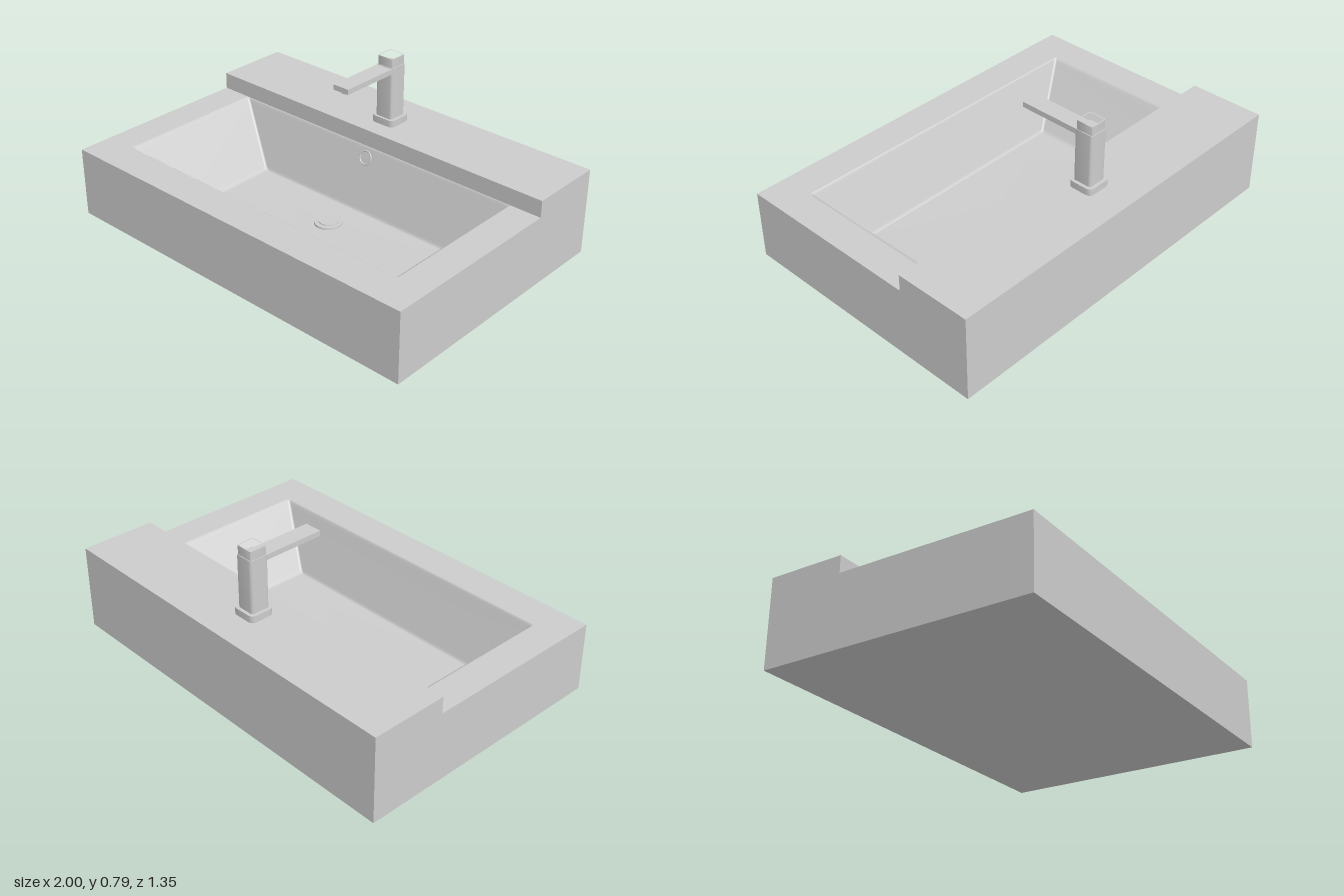
import * as THREE from 'three';
import { toCreasedNormals } from 'three/addons/utils/BufferGeometryUtils.js';

const ceramic = new THREE.MeshStandardMaterial({ color: 0xcccccc });
ceramic.name = 'light grey';

// Rounded rectangle outline as points, listed from the +x side towards +z
function roundedRect(x0, x1, z0, z1, r, steps = 4) {
  const points = [];
  const corners = [[x1 - r, z1 - r], [x0 + r, z1 - r], [x0 + r, z0 + r], [x1 - r, z0 + r]];
  corners.forEach(([cx, cz], k) => {
    for (let i = 0; i <= steps; i++) {
      const a = (k + i / steps) * Math.PI / 2;
      points.push(new THREE.Vector2(cx + r * Math.cos(a), cz + r * Math.sin(a)));
    }
  });
  return points;
}

// Upright prism over an outline in x and z, with an optional hole
function prism(outline, y0, y1, hole) {
  const flip = (pts) => pts.map((p) => new THREE.Vector2(p.x, -p.y));
  const shape = new THREE.Shape(flip(outline));
  if (hole) shape.holes.push(new THREE.Path(flip(hole)));
  const geo = new THREE.ExtrudeGeometry(shape, { depth: y1 - y0, bevelEnabled: false });
  geo.rotateX(-Math.PI / 2).translate(0, y0, 0);
  return toCreasedNormals(geo, 0.6);
}

function box(x0, x1, y0, y1, z0, z1) {
  return new THREE.BoxGeometry(x1 - x0, y1 - y0, z1 - z0)
    .translate((x0 + x1) / 2, (y0 + y1) / 2, (z0 + z1) / 2);
}

const RIM = 0.355, FLOOR = 0.05;

// Outline of the bowl: t = 0 at the rim, t = 1 at the floor
function bowlOutline(t) {
  const x = 0.84 - 0.25 * t;
  return roundedRect(-x, x, -0.29 + 0.115 * t, 0.5 - 0.13 * t, 0.012);
}

// Sloping bowl lofted through outlines, eased at the rim and the floor
function bowlGeometry() {
  const profile = [[0, 0], [0.03, 0.008], [0.06, 0.03], [0.1, 0.075],
    [0.92, 0.945], [0.96, 0.98], [1, 0.997], [1.04, 1]];
  const positions = [], index = [];
  let n = 0;
  profile.forEach(([t, drop]) => {
    const ring = bowlOutline(t);
    n = ring.length;
    ring.forEach((p) => positions.push(p.x, RIM - (RIM - FLOOR) * drop, p.y));
  });
  const centre = positions.length / 3;
  positions.push(0, FLOOR, 0.1);
  const last = profile.length - 1;
  for (let k = 0; k <= last; k++) {
    for (let i = 0; i < n; i++) {
      const a = k * n + i, b = k * n + (i + 1) % n;
      if (k === last) index.push(a, centre, b);
      else index.push(a, a + n, b, b, a + n, b + n);
    }
  }
  const geo = new THREE.BufferGeometry();
  geo.setAttribute('position', new THREE.Float32BufferAttribute(positions, 3));
  geo.setIndex(index);
  geo.computeVertexNormals();
  return geo;
}

export function createModel() {
  const model = new THREE.Group();
  model.name = 'washbasin';
  const add = (name, geo, parent = model) => {
    const mesh = new THREE.Mesh(geo, ceramic);
    mesh.name = name;
    parent.add(mesh);
    return mesh;
  };

  // Basin body
  const outer = [[1, 0.675], [-1, 0.675], [-1, -0.675], [1, -0.675]]
    .map(([x, z]) => new THREE.Vector2(x, z));
  add('basinBody', prism(outer, 0, RIM, bowlOutline(0)));
  add('tapLedge', box(-1, 1, RIM, 0.44, -0.675, -0.288));
  add('underside', box(-0.84, 0.84, 0, 0.02, -0.29, 0.5));
  add('bowl', bowlGeometry());

  // Drain: flange with a raised plug
  add('drainFlange', new THREE.CylinderGeometry(0.068, 0.07, 0.012, 40).translate(0, FLOOR + 0.004, 0));
  add('drainPlug', new THREE.CylinderGeometry(0.047, 0.05, 0.012, 40).translate(0, FLOOR + 0.01, 0));

  // Overflow ring, lying on the sloping back wall
  const overflow = new THREE.Group();
  overflow.name = 'overflow';
  overflow.position.set(0, 0.3, -0.268);
  overflow.rotation.x = -Math.atan2(0.115, RIM - FLOOR);
  add('overflowRing', new THREE.TorusGeometry(0.034, 0.005, 8, 32), overflow);
  model.add(overflow);

  // Tap
  const tap = new THREE.Group();
  tap.name = 'tap';
  model.add(tap);
  add('tapBase', prism(roundedRect(-0.067, 0.067, -0.513, -0.383, 0.025), 0.44, 0.475), tap);
  add('tapColumn', prism(roundedRect(-0.05, 0.05, -0.496, -0.396, 0.014), 0.475, 0.745), tap);
  add('tapHandle', prism(roundedRect(-0.046, 0.046, -0.492, -0.4, 0.01), 0.745, 0.79,
    roundedRect(-0.04, 0.04, -0.486, -0.406, 0.006)), tap);
  add('spout', box(-0.045, 0.045, 0.715, 0.742, -0.4, -0.085), tap);
  add('spoutOutlet', new THREE.CylinderGeometry(0.025, 0.025, 0.016, 32).translate(0, 0.708, -0.128), tap);

  return model;
}
